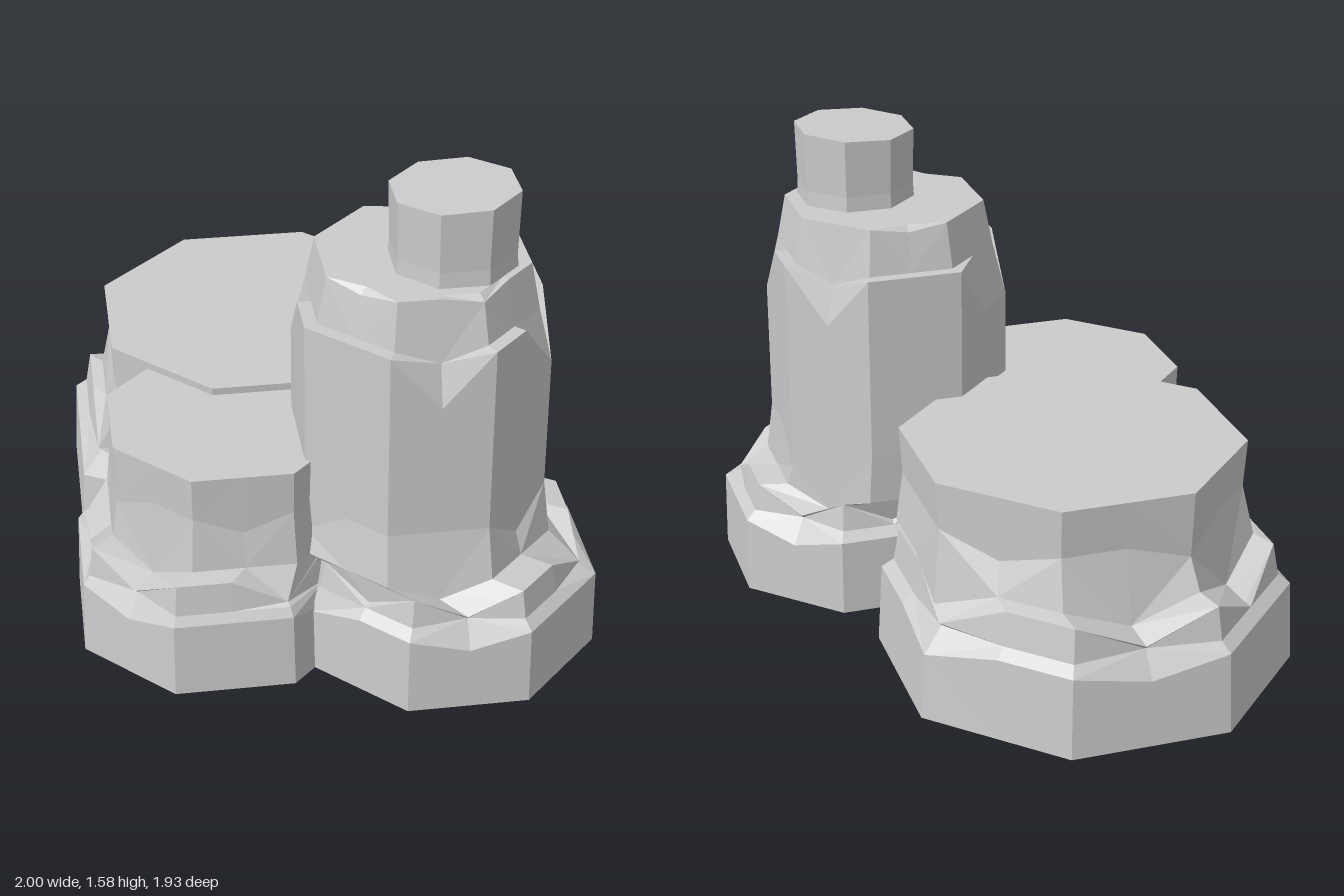
import * as THREE from 'three';

const SIDES = 16; // eight corners plus the middle of each edge
const material = new THREE.MeshStandardMaterial({ color: 0xcccccc, flatShading: true, side: THREE.DoubleSide });

// One stacked rock. Each ring is { y, r, x, z }, with optional
// drop + chips (edge points broken down by that height), pull (moved inward) and tilt.
function rock(name, rings) {
  const pos = [], idx = [];
  for (const { y, r, x, z, drop = 0, chips = [], pull = 0, tilt = 0 } of rings) {
    for (let i = 0; i < SIDES; i++) {
      const a = (i / SIDES) * Math.PI * 2;
      const chipped = chips.includes(i);
      const rad = (r - (chipped ? pull : 0)) * (i % 2 ? Math.cos(Math.PI / 8) : 1);
      const dx = Math.cos(a) * rad;
      pos.push(x + dx, y - (chipped ? drop : 0) + dx * tilt, z + Math.sin(a) * rad);
    }
  }
  for (let j = 0; j < rings.length - 1; j++) {
    for (let i = 0; i < SIDES; i++) {
      const n = (i + 1) % SIDES;
      const a = j * SIDES + i, d = j * SIDES + n;
      const b = a + SIDES, c = d + SIDES;
      // alternate the diagonal for a hewn look
      if ((i + j) % 2) idx.push(a, b, c, a, c, d);
      else idx.push(a, b, d, b, c, d);
    }
  }
  // flat top, open underside
  const last = rings[rings.length - 1], start = (rings.length - 1) * SIDES;
  pos.push(last.x, last.y, last.z);
  for (let i = 0; i < SIDES; i++) idx.push(pos.length / 3 - 1, start + ((i + 1) % SIDES), start + i);

  const geo = new THREE.BufferGeometry();
  geo.setAttribute('position', new THREE.Float32BufferAttribute(pos, 3));
  geo.setIndex(idx);
  const flat = geo.toNonIndexed();
  flat.computeVertexNormals();
  const mesh = new THREE.Mesh(flat, material);
  mesh.name = name;
  return mesh;
}

export function createModel() {
  const group = new THREE.Group();
  group.name = 'rockFormation';

  // Broad rock at the back left
  const a = { x: -0.32, z: -0.29 }, aTop = { x: -0.27, z: -0.22 };
  group.add(rock('broadRock', [
    { y: 0, r: 0.68, ...a },
    { y: 0.27, r: 0.665, ...a, chips: [1, 6, 11, 14], drop: 0.05 },
    { y: 0.3, r: 0.625, ...a, chips: [1, 4, 6, 11, 14], pull: 0.03 },
    { y: 0.41, r: 0.605, ...a, chips: [1, 3, 6, 9, 11, 14], drop: 0.1 },
    { y: 0.42, r: 0.58, x: -0.28, z: -0.24, chips: [3, 9, 11, 14], drop: 0.08 },
    { y: 0.58, r: 0.55, ...aTop, chips: [2, 7, 10, 13], drop: 0.06 },
    { y: 0.74, r: 0.56, ...aTop },
  ]));

  // Smaller rock at the front left
  const b = { x: -0.22, z: 0.47 }, bTop = { x: -0.19, z: 0.42 };
  group.add(rock('frontRock', [
    { y: 0, r: 0.495, ...b },
    { y: 0.25, r: 0.485, ...b, chips: [1, 5, 10], drop: 0.05 },
    { y: 0.28, r: 0.465, ...b, chips: [5, 7], pull: 0.03 },
    { y: 0.38, r: 0.45, ...b, chips: [2, 5, 7, 8, 10], drop: 0.09 },
    { y: 0.39, r: 0.425, ...bTop, chips: [5, 7], drop: 0.07 },
    { y: 0.57, r: 0.405, ...bTop, chips: [3, 6, 9], drop: 0.06 },
    { y: 0.715, r: 0.41, ...bTop },
  ]));

  // Tall tower at the front right, rising from its own base
  const c = { x: 0.5, z: 0.365 }, t = { x: 0.4, z: 0.335 };
  group.add(rock('towerRock', [
    { y: 0, r: 0.5, ...c },
    { y: 0.26, r: 0.495, ...c, chips: [3, 6, 13], drop: 0.05 },
    { y: 0.29, r: 0.46, ...c, chips: [0, 3, 13], pull: 0.03 },
    { y: 0.38, r: 0.44, ...c, chips: [0, 3, 5, 11, 13], drop: 0.08 },
    { y: 0.39, r: 0.425, x: 0.41, z: 0.35, chips: [3, 13], drop: 0.06 },
    { y: 0.56, r: 0.41, ...t, chips: [1, 6, 10, 14], drop: 0.1 },
    { y: 0.97, r: 0.41, ...t },
    { y: 1.18, r: 0.41, ...t, chips: [0, 3, 8, 9, 13], drop: 0.18 },
    { y: 1.18, r: 0.365, ...t, chips: [3, 13], drop: 0.05 },
    { y: 1.33, r: 0.335, ...t, chips: [2, 5, 11], drop: 0.02 },
    { y: 1.33, r: 0.31, ...t },
  ]));

  // Small cap stone on top of the tower
  group.add(rock('capStone', [
    { y: 1.3, r: 0.2, ...c },
    { y: 1.38, r: 0.195, ...c },
    { y: 1.57, r: 0.2, ...c, tilt: 0.04 },
  ]));

  return group;
}
